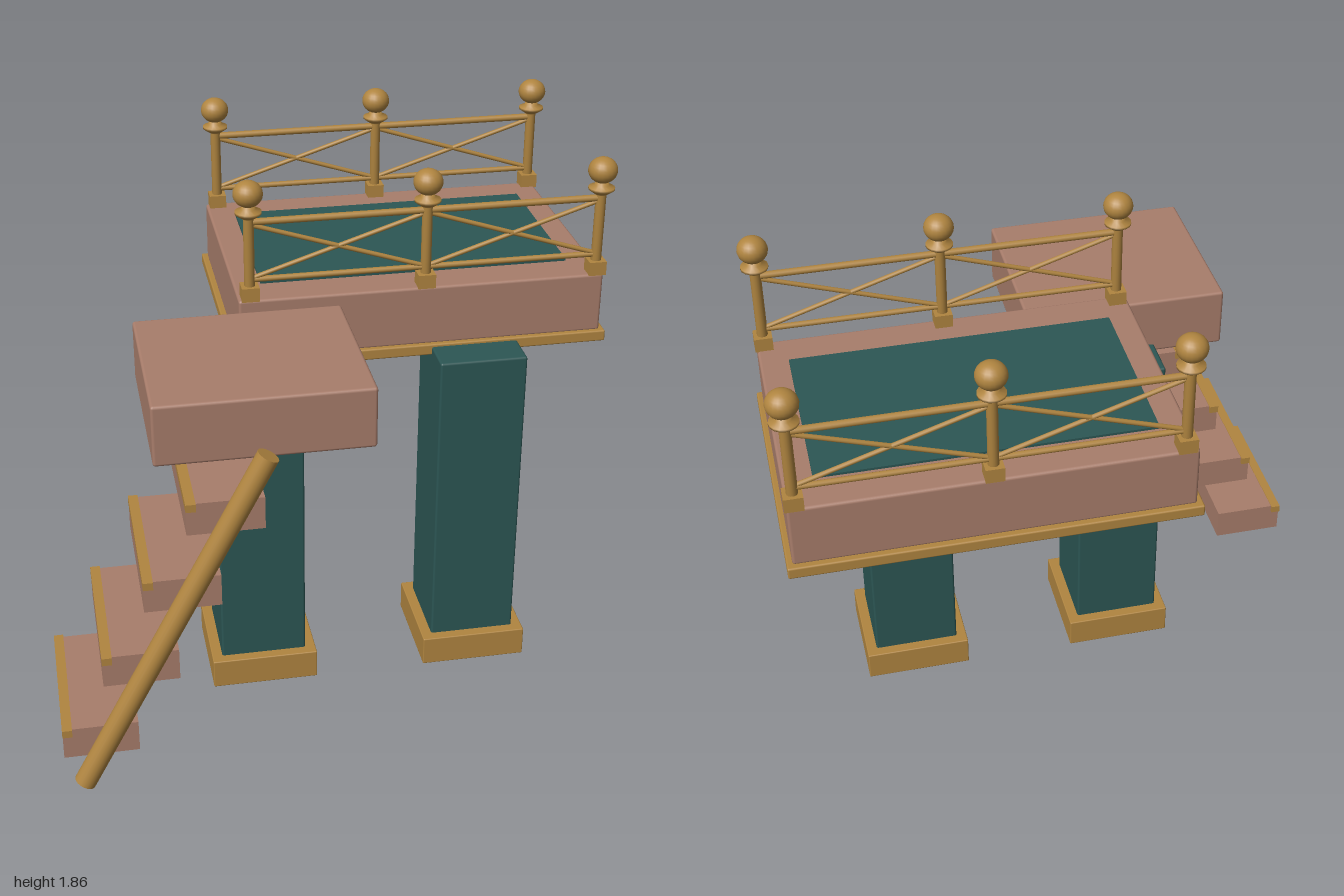
import * as THREE from 'three';
import { RoundedBoxGeometry } from 'three/addons/geometries/RoundedBoxGeometry.js';

export function createModel() {
  const model = new THREE.Group();
  model.name = 'raisedPlatform';
  const mat = (name, color) => {
    const m = new THREE.MeshStandardMaterial({ color });
    m.name = name;
    return m;
  };
  const brown = mat('dusty brown', 0xa87d6b);
  const teal = mat('dark teal', 0x2c5654);
  const gold = mat('brass gold', 0xb08540);

  const add = (name, geometry, material, parent = model) => {
    const mesh = new THREE.Mesh(geometry, material);
    mesh.name = name;
    parent.add(mesh);
    return mesh;
  };
  // Box given by its extents; r rounds the edges
  const box = (name, material, [x0, x1], [y0, y1], [z0, z1], r = 0, parent = model) => {
    const s = [x1 - x0, y1 - y0, z1 - z0];
    const g = r ? new RoundedBoxGeometry(...s, 2, r) : new THREE.BoxGeometry(...s);
    add(name, g, material, parent).position.set((x0 + x1) / 2, (y0 + y1) / 2, (z0 + z1) / 2);
  };
  // Round bar between two points
  const bar = (name, a, b, radius, parent = model, sides = 10) => {
    const p = new THREE.Vector3(...a), q = new THREE.Vector3(...b);
    const mesh = add(name, new THREE.CylinderGeometry(radius, radius, p.distanceTo(q), sides), gold, parent);
    mesh.position.copy(p).lerp(q, 0.5);
    mesh.quaternion.setFromUnitVectors(new THREE.Vector3(0, 1, 0), q.sub(p).normalize());
  };

  // Columns on plinths
  for (const [x, z] of [[-0.256, 0.1], [0.518, 0.1]]) {
    box('column', teal, [x - 0.152, x + 0.152], [0, 1.22], [z - 0.152, z + 0.152], 0.008);
    box('plinth', gold, [x - 0.189, x + 0.189], [0.002, 0.11], [z - 0.189, z + 0.189], 0.004);
  }

  // Main deck with trim and inlaid mat, and the lower landing
  box('deckTrim', gold, [-0.318, 0.988], [1.19, 1.23], [-0.803, 0.12], 0.006);
  box('deck', brown, [-0.298, 0.97], [1.225, 1.44], [-0.782, 0.103], 0.01);
  box('deckMat', teal, [-0.205, 0.875], [1.436, 1.448], [-0.65, 0.032 - 0.06]);
  box('landing', brown, [-0.655, 0.05], [1.19, 1.4], [0.1, 0.713], 0.01);

  // Stair treads with nosings and a single slanted stringer
  for (let i = 0; i < 4; i++) {
    const x = -1 + i * 0.145, y = 0.255 + i * 0.273;
    box('tread', brown, [x, x + 0.25], [y - 0.113, y], [0.235, 0.757]);
    box('treadNosing', gold, [x - 0.001, x + 0.032], [y - 0.025, y + 0.002], [0.225, 0.766]);
  }
  bar('stairStringer', [-0.938, 0.046, 0.773], [-0.305, 1.232, 0.773], 0.037, model, 20);

  // Post: shaft, flared collar and neck turned in one profile
  const profile = [[0, 1.47], [0.018, 1.47], [0.018, 1.725], [0.028, 1.732], [0.045, 1.744],
    [0.045, 1.752], [0.025, 1.76], [0.02, 1.78], [0, 1.78]].map(([r, y]) => new THREE.Vector2(r, y));
  const postX = [-0.257, 0.345, 0.946];

  // Balustrades along the front and back of the deck
  for (const z of [0.08, -0.76]) {
    const rail = new THREE.Group();
    rail.name = z > 0 ? 'frontBalustrade' : 'backBalustrade';
    model.add(rail);
    for (const x of postX) {
      box('postFoot', gold, [x - 0.03, x + 0.03], [1.438, 1.487], [z - 0.03, z + 0.03], 0, rail);
      add('post', new THREE.LatheGeometry(profile, 16), gold, rail).position.set(x, 0, z);
      const ball = add('postBall', new THREE.SphereGeometry(0.05, 20, 14), gold, rail);
      ball.position.set(x, 1.812, z);
      ball.scale.y = 0.9;
    }
    bar('topRail', [postX[0], 1.713, z], [postX[2], 1.713, z], 0.012, rail);
    bar('bottomRail', [postX[0], 1.508, z], [postX[2], 1.508, z], 0.01, rail);
    for (let i = 0; i < 2; i++) {
      bar('brace', [postX[i], 1.51, z], [postX[i + 1], 1.705, z], 0.008, rail);
      bar('brace', [postX[i], 1.705, z], [postX[i + 1], 1.51, z], 0.008, rail);
    }
  }
  return model;
}
